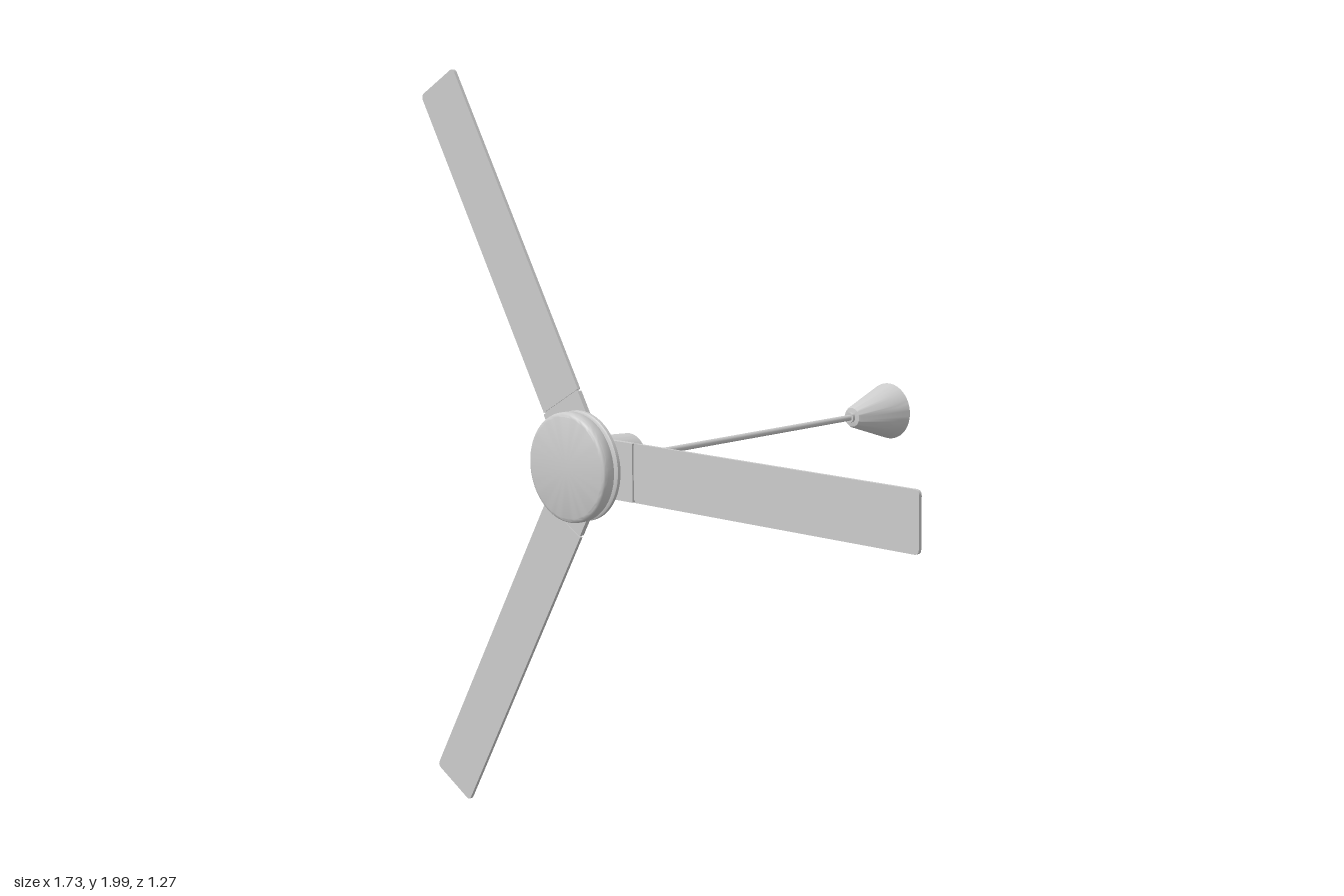
import * as THREE from 'three';
import { toCreasedNormals } from 'three/addons/utils/BufferGeometryUtils.js';

const material = new THREE.MeshStandardMaterial({ color: 0xcccccc });

// Turned part around the z axis; profile is [radius, z] from back to front
function turned(name, profile) {
  const lathe = new THREE.LatheGeometry(profile.map(([r, z]) => new THREE.Vector2(r, z)), 64);
  lathe.rotateX(Math.PI / 2);
  const mesh = new THREE.Mesh(toCreasedNormals(lathe, 0.6), material);
  mesh.name = name;
  return mesh;
}

// Flat strip from radius a to b along +x, with outer corners rounded by c
function strip(name, a, b, half, c, z, depth) {
  const s = new THREE.Shape();
  s.moveTo(a, -half);
  s.lineTo(b - c, -half);
  s.quadraticCurveTo(b, -half, b, -half + c);
  s.lineTo(b, half - c);
  s.quadraticCurveTo(b, half, b - c, half);
  s.lineTo(a, half);
  s.closePath();
  const geometry = new THREE.ExtrudeGeometry(s, { depth, bevelEnabled: false, curveSegments: 6 });
  geometry.translate(0, 0, z);
  const mesh = new THREE.Mesh(geometry, material);
  mesh.name = name;
  return mesh;
}

export function createModel() {
  const fan = new THREE.Group();
  fan.name = 'ceilingFan';

  // Ceiling canopy, hanging rod and motor housing
  fan.add(turned('canopy', [
    [0, -0.635], [0.081, -0.635], [0.07, -0.6], [0.031, -0.479],
    [0.027, -0.473], [0.014, -0.471], [0.014, -0.462], [0, -0.462],
  ]));
  fan.add(turned('rod', [[0.0085, -0.48], [0.0085, 0.42]]));
  fan.add(turned('motorHousing', [
    [0, 0.405], [0.059, 0.405], [0.063, 0.409], [0.0705, 0.535],
    [0.0705, 0.543], [0.066, 0.547], [0, 0.547],
  ]));
  fan.add(turned('neck', [[0, 0.54], [0.052, 0.54], [0.052, 0.585], [0, 0.585]]));

  // Backing ring, groove and rounded front cover
  fan.add(turned('backingRing', [
    [0, 0.576], [0.138, 0.576], [0.143, 0.579], [0.143, 0.588], [0.138, 0.591], [0, 0.591],
  ]));
  fan.add(turned('groove', [[0.131, 0.588], [0.131, 0.601]]));
  fan.add(turned('frontCover', [
    [0, 0.598], [0.136, 0.598], [0.141, 0.6], [0.143, 0.605], [0.143, 0.624],
    [0.1415, 0.629], [0.138, 0.633], [0.132, 0.635], [0, 0.635],
  ]));

  // Three blades, each with a bracket and a narrow joint
  for (let i = 0; i < 3; i++) {
    const arm = new THREE.Group();
    arm.name = 'bladeArm' + (i + 1);
    arm.add(strip('bracket', 0, 0.176, 0.076, 0.002, 0.557, 0.013));
    arm.add(strip('joint', 0.17, 0.19, 0.07, 0.002, 0.56, 0.005));
    arm.add(strip('blade', 0.181, 1.113, 0.076, 0.014, 0.558, 0.009));
    arm.rotation.z = (i * Math.PI * 2) / 3;
    fan.add(arm);
  }

  fan.position.set(-0.249, 1, 0);
  const model = new THREE.Group();
  model.name = 'model';
  model.add(fan);
  return model;
}
